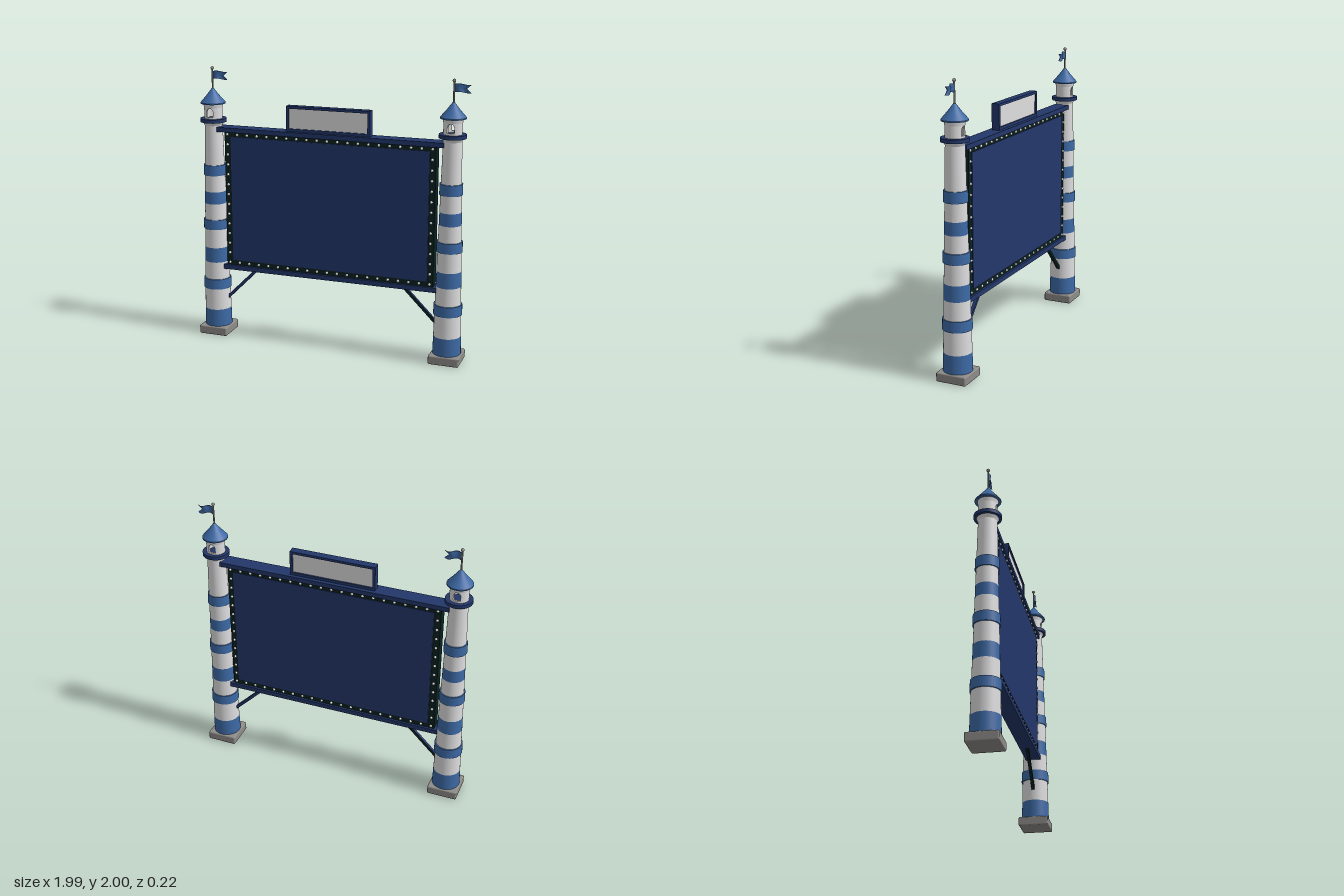
import * as THREE from 'three';
import { mergeGeometries } from 'three/addons/utils/BufferGeometryUtils.js';
import { RoundedBoxGeometry } from 'three/addons/geometries/RoundedBoxGeometry.js';

const paint = (name, color, side = THREE.FrontSide) => {
  const m = new THREE.MeshStandardMaterial({ color, side });
  m.name = name;
  return m;
};
const white = paint('white', 0xdedee0);
const blue = paint('blue', 0x3d6aa6);
const navy = paint('navy', 0x22376a);
const darkGreen = paint('dark green', 0x0a2020);
const stone = paint('stone grey', 0x8e8c89);
const flagBlue = paint('flag blue', 0x3b659e, THREE.DoubleSide);
const bulbWhite = paint('bulb white', 0xe8ebe4);

const SEG = 32;
const CX = -0.006; // middle of the board

function add(parent, name, geometry, material, x = 0, y = 0, z = 0) {
  const mesh = new THREE.Mesh(geometry, material);
  mesh.name = name;
  mesh.position.set(x, y, z);
  parent.add(mesh);
  return mesh;
}

// Box given by its limits in x and y, centred on z
function slab(parent, name, x0, x1, y0, y1, depth, material) {
  return add(parent, name, new THREE.BoxGeometry(x1 - x0, y1 - y0, depth), material, (x0 + x1) / 2, (y0 + y1) / 2);
}

// Tapering shaft radius at a height
const shaftRadius = (y) => THREE.MathUtils.lerp(0.1, 0.064, (y - 0.065) / 1.535);

function drum(parent, name, y0, y1, r0, r1, material, open = false) {
  return add(parent, name, new THREE.CylinderGeometry(r1, r0, y1 - y0, SEG, 1, open), material, 0, (y0 + y1) / 2);
}

// Hollow lantern wall made of bent blocks, with arched windows front and back
function lanternGeometry() {
  const N = 48, half = 0.4, sill = 1.64, spring = 1.675, y0 = 1.62, y1 = 1.74;
  const parts = [];
  const offset = (a) => {
    const d = Math.abs(a) % Math.PI;
    return Math.min(d, Math.PI - d);
  };
  const arch = (a) => spring + 0.027 * Math.sqrt(Math.max(0, 1 - (offset(a) / half) ** 2));
  const block = (a0, a1, low, high) => {
    const g = new THREE.BoxGeometry(1, 1, 1);
    const p = g.attributes.position;
    for (let i = 0; i < p.count; i++) {
      const a = p.getX(i) < 0 ? a0 : a1;
      const r = p.getZ(i) < 0 ? 0.052 : 0.065;
      p.setXYZ(i, Math.sin(a) * r, p.getY(i) < 0 ? low(a) : high(a), Math.cos(a) * r);
    }
    g.computeVertexNormals();
    parts.push(g);
  };
  for (let i = 0; i < N; i++) {
    const a0 = (i / N) * Math.PI * 2, a1 = ((i + 1) / N) * Math.PI * 2;
    if (offset((a0 + a1) / 2) < half) {
      block(a0, a1, () => y0, () => sill);
      block(a0, a1, arch, () => y1);
    } else block(a0, a1, () => y0, () => y1);
  }
  return mergeGeometries(parts);
}

// Waving swallowtail flag
function flagGeometry() {
  const g = new THREE.BoxGeometry(0.112, 0.055, 0.004, 12, 2, 1);
  const p = g.attributes.position;
  for (let i = 0; i < p.count; i++) {
    const t = p.getX(i) / 0.112 + 0.5;
    const y = p.getY(i);
    const notch = (1 - Math.abs(y) / 0.0275) * 0.03 * t;
    p.setXYZ(i, t * 0.112 - notch, y + 0.005 * Math.sin(t * 6), p.getZ(i) + 0.009 * Math.sin(t * 6.5));
  }
  g.computeVertexNormals();
  return g;
}

function tower(x) {
  const t = new THREE.Group();
  t.name = 'tower';
  t.position.x = x;
  add(t, 'plinth', new RoundedBoxGeometry(0.218, 0.065, 0.218, 2, 0.01), stone, 0, 0.0325);

  // Flush white and blue courses of the shaft
  const levels = [0.06, 0.195, 0.56, 0.67, 1.0, 1.09, 1.6];
  for (let i = 0; i < levels.length - 1; i++) {
    const [a, b] = [levels[i], levels[i + 1]];
    drum(t, i % 2 ? 'whiteCourse' : 'blueCourse', a, b, shaftRadius(a), shaftRadius(b), i % 2 ? white : blue, true);
  }
  // Raised blue rings
  for (const [a, b] of [[0.355, 0.43], [0.81, 0.882], [1.212, 1.288]]) {
    drum(t, 'raisedRing', a, b, shaftRadius(a) + 0.008, shaftRadius(b) + 0.008, blue);
  }

  // Gallery, lantern room and roof
  drum(t, 'galleryBracket', 1.575, 1.602, 0.064, 0.076, white);
  drum(t, 'gallery', 1.6, 1.626, 0.094, 0.094, navy);
  add(t, 'lanternRoom', lanternGeometry(), white);
  drum(t, 'lanternCollar', 1.705, 1.738, 0.066, 0.072, white, true);
  const roof = [[0, 1.732], [0.089, 1.732], [0.089, 1.741], [0.045, 1.792], [0.008, 1.84], [0, 1.842]];
  const shape = roof.flatMap(([r, y], i) => (i === 1 || i === 2 ? [[r, y], [r, y]] : [[r, y]]));
  add(t, 'roof', new THREE.LatheGeometry(shape.map(([r, y]) => new THREE.Vector2(r, y)), SEG), blue);

  // Flagpole
  add(t, 'flagpole', new THREE.CylinderGeometry(0.006, 0.006, 0.15, 10), stone, 0, 1.908);
  add(t, 'flagpoleBall', new THREE.SphereGeometry(0.012, 12, 8), stone, 0, 1.985);
  add(t, 'flag', flagGeometry(), flagBlue, 0.005, 1.936);
  return t;
}

function board() {
  const b = new THREE.Group();
  b.name = 'board';
  slab(b, 'bulbFrame', -0.785, 0.774, 0.54, 1.54, 0.08, darkGreen);
  slab(b, 'screen', -0.737, 0.731, 0.585, 1.505, 0.09, navy);
  slab(b, 'topBeam', -0.84, 0.827, 1.537, 1.57, 0.11, navy);
  slab(b, 'bottomBeam', -0.81, 0.8, 0.512, 0.546, 0.11, navy);

  // Bulbs around the screen, on both faces
  const bulb = new THREE.SphereGeometry(0.01, 8, 6);
  const bulbs = [];
  const put = (x, y) => {
    for (const z of [-0.042, 0.042]) bulbs.push(bulb.clone().translate(x, y, z));
  };
  const cols = 20, rows = 13, w = 0.756, low = 0.565, high = 1.521;
  for (let i = 0; i <= cols; i++) {
    const x = CX - w + (2 * w * i) / cols;
    put(x, low);
    put(x, high);
  }
  for (let j = 1; j < rows; j++) {
    const y = low + ((high - low) * j) / rows;
    put(CX - w, y);
    put(CX + w, y);
  }
  add(b, 'bulbs', mergeGeometries(bulbs), bulbWhite);

  // Sign on top of the beam
  slab(b, 'signPanel', -0.3, 0.288, 1.585, 1.738, 0.036, white);
  slab(b, 'signTop', -0.315, 0.302, 1.732, 1.75, 0.056, navy);
  slab(b, 'signBottom', -0.315, 0.302, 1.57, 1.59, 0.056, navy);
  slab(b, 'signSide', -0.315, -0.296, 1.588, 1.734, 0.056, navy);
  slab(b, 'signSide', 0.283, 0.302, 1.588, 1.734, 0.056, navy);

  // Diagonal struts down to the towers
  for (const s of [-1, 1]) {
    const from = new THREE.Vector2(CX + s * 0.8, 0.275);
    const to = new THREE.Vector2(CX + s * 0.552, 0.522);
    const [front, back] = s < 0 ? [navy, darkGreen] : [darkGreen, navy];
    const strut = add(b, 'strut', new THREE.BoxGeometry(from.distanceTo(to), 0.022, 0.022),
      [darkGreen, darkGreen, navy, darkGreen, front, back], (from.x + to.x) / 2, (from.y + to.y) / 2);
    strut.rotation.z = -s * Math.PI / 4;
  }
  return b;
}

export function createModel() {
  const model = new THREE.Group();
  model.name = 'billboard';
  model.add(tower(-0.888), tower(0.875), board());
  return model;
}
